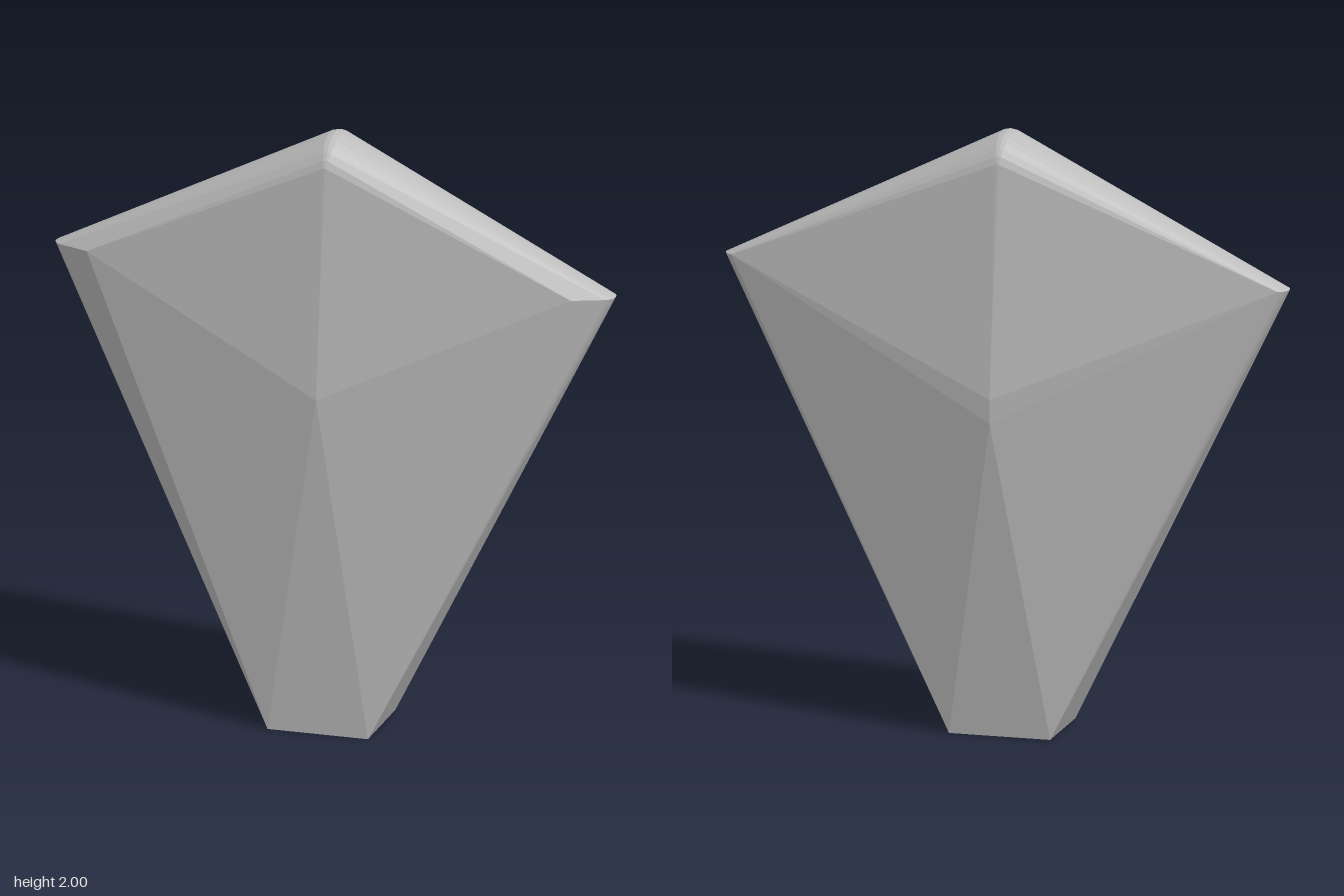
import * as THREE from 'three';
import { ConvexGeometry } from 'three/addons/geometries/ConvexGeometry.js';

const v = (x, y, z) => new THREE.Vector3(x, y, z);

export function createModel() {
  const group = new THREE.Group();
  group.name = 'facetedKite';
  const stone = new THREE.MeshStandardMaterial({ color: 0xbcbcbc });
  stone.name = 'stone grey';

  // Facet corners on the centre line: front peak and the two back peaks
  const points = [v(0, 1.15, 0.22), v(0, 1.15, -0.22), v(0, 1.07, -0.22)];

  for (const side of [-1, 1]) {
    // Rectangular foot and front shoulder bevel
    points.push(v(side * 0.17, 0, 0.2), v(side * 0.17, 0, -0.1), v(side * 0.82, 1.53, 0.08));

    // Rounded rim: a half ellipse over the crown and a small one at each side tip
    const steps = 14;
    for (let i = 0; i <= steps; i++) {
      const a = (i / steps) * Math.PI;
      const s = Math.sin(a), c = Math.cos(a);
      points.push(v(side * (0.91 + 0.037 * s), 1.53, 0.043 * c));
      // Crown softened across its width
      for (const [x, h] of [[0, 0.11], [0.02, 0.106], [0.04, 0.093]]) {
        if (x === 0 && side < 0) continue;
        if (x > 0 && s < 0.01) continue;
        points.push(v(side * x * s, 1.89 + h * s, 0.13 * c));
      }
    }
  }

  const body = new THREE.Mesh(new ConvexGeometry(points), stone);
  body.name = 'facetedBody';
  group.add(body);
  return group;
}
